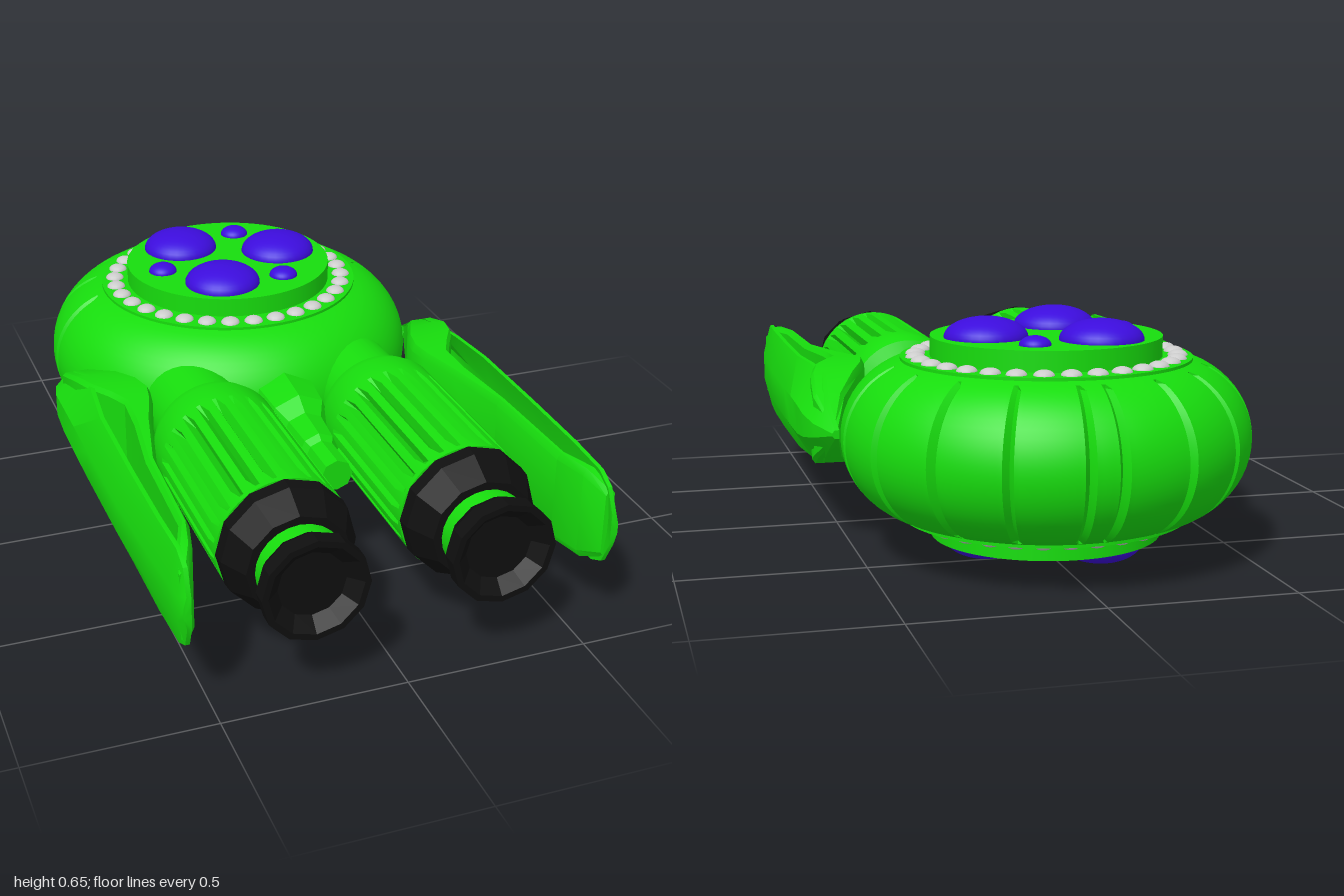
import * as THREE from 'three';
import { toCreasedNormals } from 'three/addons/utils/BufferGeometryUtils.js';

const MID = 0.325; // height of the symmetry plane
const HUB = -0.45; // z of the saucer centre

const mat = (color) => new THREE.MeshStandardMaterial({ color, side: THREE.DoubleSide });
const green = mat(0x17dd0d), purple = mat(0x3c0cdc), black = mat(0x0f0f0f), grey = mat(0xcccccc);

function add(parent, name, geometry, material, x = 0, y = 0, z = 0) {
  const mesh = new THREE.Mesh(geometry, material);
  mesh.name = name;
  mesh.position.set(x, y, z);
  parent.add(mesh);
  return mesh;
}

const lathe = (pts, sides) =>
  new THREE.LatheGeometry(pts.map(([r, y]) => new THREE.Vector2(r, y)), sides);

// Lathe lying along z; profile points are [radius, z]
const zLathe = (pts, sides, crease = 0.5) =>
  toCreasedNormals(lathe(pts, sides).rotateX(Math.PI / 2), crease);

// Change the radius of every vertex around the y axis by a rule
function carve(geometry, rule) {
  const p = geometry.attributes.position;
  for (let i = 0; i < p.count; i++) {
    const x = p.getX(i), y = p.getY(i), z = p.getZ(i);
    const r = Math.hypot(x, z);
    if (r < 1e-4) continue;
    const k = (r - rule(Math.atan2(x, z), y, r)) / r;
    p.setXYZ(i, x * k, y, z * k);
  }
  return geometry;
}

// Skin over cross-sections that share a point count; side = -1 mirrors in x
function loft(rings, side) {
  const n = rings[0].length, pos = [], index = [];
  const tri = (a, b, c) => (side > 0 ? index.push(a, b, c) : index.push(a, c, b));
  rings.forEach((ring) => ring.forEach(([x, y, z]) => pos.push(side * x, y, z)));
  for (let i = 0; i < rings.length - 1; i++)
    for (let j = 0; j < n; j++) {
      const a = i * n + j, b = i * n + ((j + 1) % n);
      tri(a, b, b + n);
      tri(a, b + n, a + n);
    }
  const last = (rings.length - 1) * n;
  for (let j = 1; j < n - 1; j++) {
    tri(0, j + 1, j);
    tri(last, last + j, last + j + 1);
  }
  const g = new THREE.BufferGeometry();
  g.setAttribute('position', new THREE.Float32BufferAttribute(pos, 3));
  g.setIndex(index);
  return toCreasedNormals(g, 0.5);
}

function buildSaucer() {
  const saucer = new THREE.Group();
  saucer.name = 'saucer';
  saucer.position.set(0, MID, HUB);

  // Rounded hull with panel grooves around the back half
  const profile = [[0, -0.215], [0.39, -0.215]];
  for (let i = -12; i <= 12; i++) {
    const t = (i / 12) * 1.295;
    profile.push([0.33 + 0.22 * Math.cos(t), 0.215 * Math.sin(t)]);
  }
  profile.push([0.39, 0.215], [0, 0.215]);
  const grooves = [4.5, 25.5, 46.5, 67.5, 88.5];
  const hull = carve(lathe(profile, 240), (a, y, r) => {
    const deg = 180 - Math.abs(THREE.MathUtils.radToDeg(a));
    return r > 0.42 && grooves.some((g) => Math.abs(g - deg) < 0.5) ? 0.022 : 0;
  });
  add(saucer, 'hull', toCreasedNormals(hull, 0.5), green);

  // Raised disc, beads and domes, the same above and below
  const domes = [
    [-0.11, -0.59, 0.112, 0.055], [0.17, -0.47, 0.112, 0.055], [-0.07, -0.285, 0.112, 0.055],
    [0.085, -0.645, 0.042, 0.025], [-0.215, -0.425, 0.042, 0.025], [0.12, -0.275, 0.042, 0.025],
  ];
  const disc = new THREE.CylinderGeometry(0.31, 0.31, 0.06, 64);
  const bead = new THREE.SphereGeometry(0.028, 14, 10);
  for (const s of [1, -1]) {
    const tag = s > 0 ? 'upper' : 'lower';
    add(saucer, tag + 'Disc', disc, green, 0, s * 0.24, 0);
    for (let i = 0; i < 32; i++) {
      const a = ((i + 0.5) / 32) * Math.PI * 2;
      add(saucer, tag + 'Bead', bead, grey, 0.35 * Math.sin(a), s * 0.213, 0.35 * Math.cos(a)).scale.y = 0.6;
    }
    for (const [x, z, r, h] of domes)
      add(saucer, tag + 'Dome', new THREE.SphereGeometry(r, 32, 20).scale(1, h / r, 1), purple, x, s * 0.27, z - HUB);
  }
  return saucer;
}

function buildEngine(side) {
  const engine = new THREE.Group();
  engine.name = side > 0 ? 'leftEngine' : 'rightEngine';
  engine.position.set(side * 0.25, MID + 0.005, 0);

  add(engine, 'neck', zLathe([[0, -0.2], [0.135, -0.2], [0.135, 0.15], [0.165, 0.17]], 32), green);

  // Cowl with lengthwise flutes
  const cowl = lathe([[0.135, 0.15], [0.17, 0.165], [0.181, 0.2], [0.181, 0.28], [0.181, 0.33],
    [0.181, 0.7], [0.181, 0.745], [0.181, 0.76], [0, 0.76]], 96);
  carve(cowl, (a, z) => {
    const k = Math.round((a / (Math.PI * 2)) * 96);
    return z > 0.3 && z < 0.72 && ((k % 4) + 4) % 4 === 2 ? 0.028 : 0;
  });
  add(engine, 'cowl', toCreasedNormals(cowl.rotateX(Math.PI / 2), 0.4), green);

  add(engine, 'collar', zLathe([[0.17, 0.758], [0.183, 0.762], [0.18, 0.8], [0.14, 0.877], [0, 0.877]], 12, 0.2), black);
  add(engine, 'throat', zLathe([[0.117, 0.87], [0.117, 0.93]], 24), green);
  add(engine, 'nozzle', zLathe([[0, 0.92], [0.12, 0.92], [0.142, 0.955], [0.142, 1], [0.125, 1],
    [0.09, 0.965], [0, 0.965]], 12, 0.2), black);
  return engine;
}

function buildArm(side) {
  const arm = new THREE.Group();
  arm.name = side > 0 ? 'leftArm' : 'rightArm';

  // Outer blade with a V-shaped section: [z, outer x, flange depth, half height]
  const blade = [
    [-0.33, 0.56, 0.02, 0.012], [-0.26, 0.6, 0.05, 0.06], [-0.18, 0.617, 0.07, 0.1], [-0.08, 0.62, 0.085, 0.13],
    [0.05, 0.62, 0.07, 0.137], [0.2, 0.62, 0.055, 0.137], [0.5, 0.617, 0.05, 0.137],
    [0.75, 0.605, 0.04, 0.137], [0.9, 0.594, 0.035, 0.135], [0.95, 0.588, 0.03, 0.11], [0.98, 0.58, 0.02, 0.045],
  ].map(([z, x, d, h]) => [
    [x, -h * 0.32], [x, h * 0.32], [x - d + 0.012, h], [x - d, h],
    [x - 0.02, h * 0.25], [x - 0.02, -h * 0.25], [x - d, -h], [x - d + 0.012, -h],
  ].map(([px, py]) => [px, MID + py, z]));
  add(arm, 'outerBlade', loft(blade, side), green);

  // Inner rail that bulges toward the engine: [z, inner x, outer x, half height]
  const rail = [
    [-0.31, 0.54, 0.56, 0.02], [-0.2, 0.505, 0.59, 0.09], [-0.08, 0.45, 0.58, 0.13], [0, 0.415, 0.56, 0.142],
    [0.07, 0.4, 0.52, 0.145], [0.13, 0.41, 0.49, 0.143], [0.25, 0.445, 0.495, 0.138], [0.45, 0.49, 0.52, 0.132],
    [0.78, 0.502, 0.53, 0.132], [0.88, 0.525, 0.565, 0.132], [0.95, 0.555, 0.58, 0.1],
  ].map(([z, a, b, h]) => [
    [b, -h * 0.9], [b, h * 0.9], [b - 0.01, h], [a + 0.01, h],
    [a, h * 0.85], [a, -h * 0.85], [a + 0.01, -h], [b - 0.01, -h],
  ].map(([px, py]) => [px, MID + py, z]));
  add(arm, 'innerRail', loft(rail, side), green);
  return arm;
}

export function createModel() {
  const model = new THREE.Group();
  model.name = 'spacecraft';
  model.add(buildSaucer());
  for (const side of [1, -1]) model.add(buildEngine(side), buildArm(side));

  // Faceted spike between the engines
  add(model, 'centreSpike', zLathe([[0, -0.02], [0.11, 0], [0.112, 0.07], [0.1, 0.19], [0.068, 0.24],
    [0.058, 0.35], [0.045, 0.37], [0.045, 0.49], [0, 0.49]], 8, 0.3), green, 0, MID + 0.005, 0);
  return model;
}
